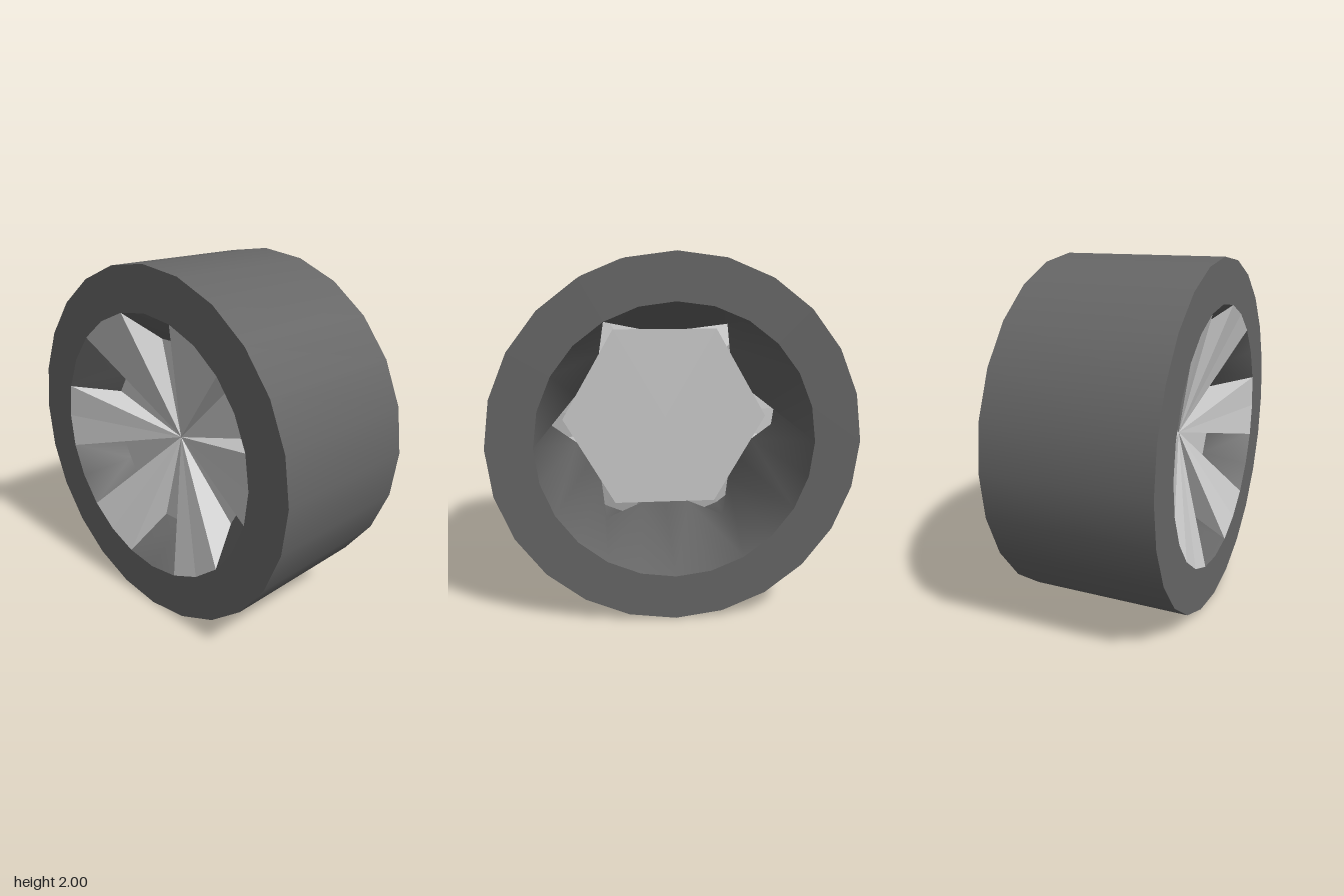
import * as THREE from 'three';

const SIDES = 24, HALF = 0.465, OUTER = 1, BORE = 0.75;
const HUB_Z = 0.22, HUB_R = 0.635;

const polar = (i, r, z) => {
  const a = (i / SIDES) * Math.PI * 2;
  return [Math.cos(a) * r, Math.sin(a) * r, z];
};

// Radius of the inner wall at the hub: follows the hexagon, with a notch behind each spoke
const waist = (i) => {
  if (i % 4 === 0) return BORE;
  const fromFacet = ((i % 4) - 2) * (Math.PI / 12);
  return (HUB_R * Math.cos(Math.PI / 6)) / Math.cos(fromFacet);
};

function geometryFrom(points, index) {
  const g = new THREE.BufferGeometry();
  g.setAttribute('position', new THREE.Float32BufferAttribute(points.flat(), 3));
  if (index) g.setIndex(index);
  g.computeVertexNormals();
  return g;
}

// Inner wall lofted through back rim, waist and front rim
function innerWall() {
  const points = [], index = [];
  for (let k = 0; k < 3; k++)
    for (let i = 0; i < SIDES; i++)
      points.push(polar(i, k === 1 ? waist(i) : BORE, [-HALF, HUB_Z, HALF][k]));
  for (let k = 0; k < 2; k++)
    for (let i = 0; i < SIDES; i++) {
      const j = (i + 1) % SIDES;
      const a = k * SIDES + i, b = k * SIDES + j, c = a + SIDES, d = b + SIDES;
      if (i % 2) index.push(a, c, b, b, c, d);
      else index.push(a, c, d, a, d, b);
    }
  return geometryFrom(points, index);
}

// Wedge spoke rising from the hub centre to the front rim, with its two side walls
function spoke(s) {
  const mid = s * 4, c = [0, 0, HUB_Z];
  const rim = [-1, 0, 1].map((o) => polar(mid + o, BORE, HALF));
  const low = [-1, 1].map((o) => polar(mid + o, waist(mid + o + SIDES), HUB_Z));
  return geometryFrom([
    c, rim[0], rim[1],
    c, rim[1], rim[2],
    c, low[0], rim[0],
    c, rim[2], low[1],
  ]);
}

export function createModel() {
  const model = new THREE.Group();
  model.name = 'wheel';
  const rubber = new THREE.MeshStandardMaterial({ color: 0x666666 });
  const rubberInside = new THREE.MeshStandardMaterial({ color: 0x666666, side: THREE.DoubleSide });
  const metal = new THREE.MeshStandardMaterial({ color: 0xcccccc, flatShading: true, side: THREE.DoubleSide });

  const add = (name, geometry, material, parent) => {
    const mesh = new THREE.Mesh(geometry, material);
    mesh.name = name;
    parent.add(mesh);
    return mesh;
  };

  // Tyre: tread, side walls and shaped inner wall
  const tyre = new THREE.Group();
  tyre.name = 'tyre';
  const tread = new THREE.CylinderGeometry(OUTER, OUTER, HALF * 2, SIDES, 1, true).rotateX(Math.PI / 2);
  add('tread', tread, rubber, tyre);
  add('frontSidewall', new THREE.RingGeometry(BORE, OUTER, SIDES), rubber, tyre).position.z = HALF;
  const back = add('backSidewall', new THREE.RingGeometry(BORE, OUTER, SIDES), rubber, tyre);
  back.position.z = -HALF;
  back.rotation.y = Math.PI;
  add('innerWall', innerWall(), rubberInside, tyre);

  // Hub: hexagonal plate with six spokes
  const hub = new THREE.Group();
  hub.name = 'hub';
  add('hubPlate', new THREE.CircleGeometry(HUB_R, 6), metal, hub).position.z = HUB_Z;
  for (let s = 0; s < 6; s++) add('spoke', spoke(s), metal, hub);

  model.add(tyre, hub);
  model.position.y = OUTER;
  const root = new THREE.Group();
  root.add(model);
  return root;
}
